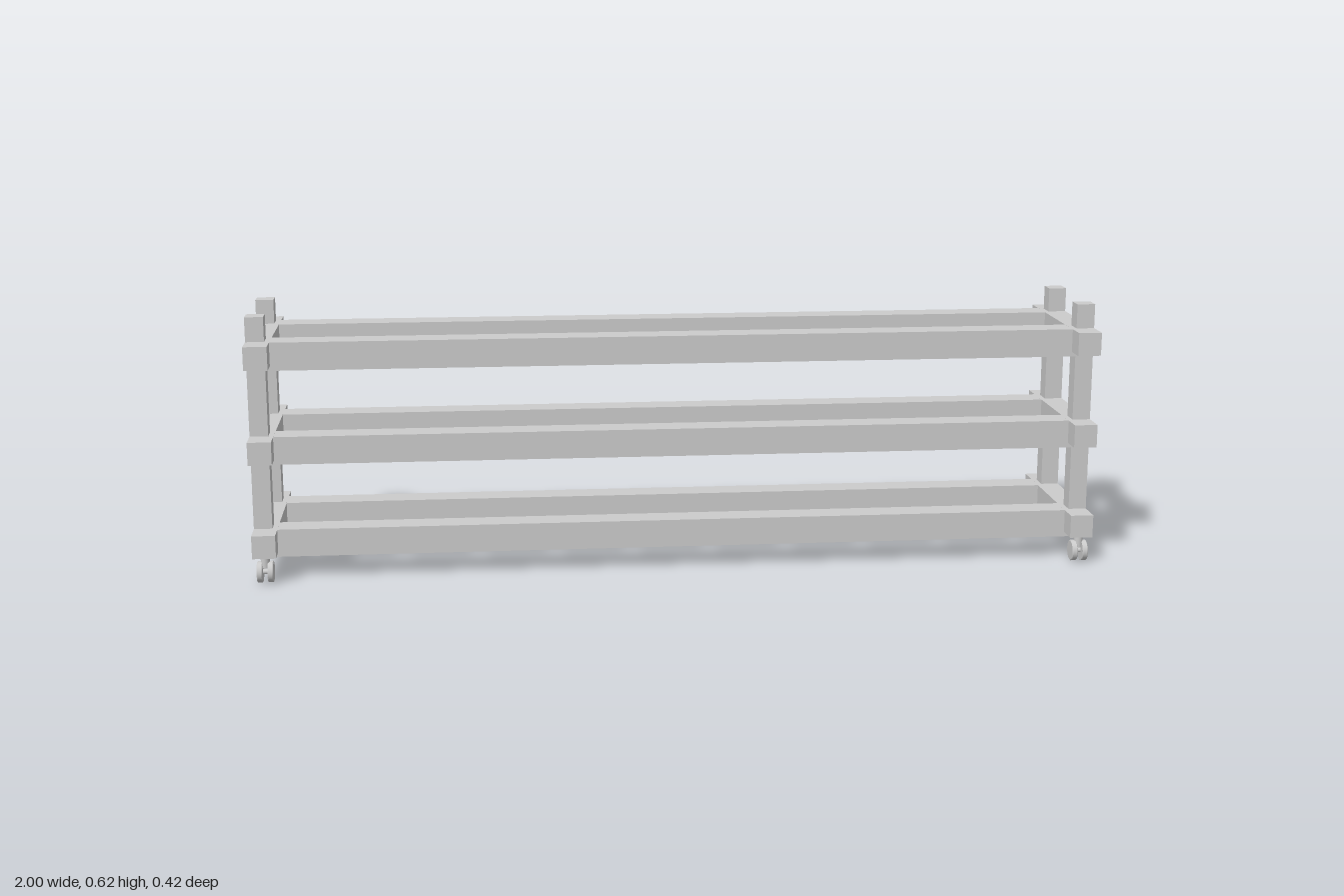
import * as THREE from 'three';

export function createModel() {
  const model = new THREE.Group();
  const material = new THREE.MeshStandardMaterial({ color: 0xcccccc });

  function add(parent, name, geometry, x, y, z) {
    const mesh = new THREE.Mesh(geometry, material);
    mesh.name = name;
    mesh.position.set(x, y, z);
    parent.add(mesh);
    return mesh;
  }

  const post = new THREE.BoxGeometry(0.043, 0.555, 0.043);
  const crossBar = new THREE.BoxGeometry(0.055, 0.055, 0.416);
  const rail = new THREE.BoxGeometry(1.914, 0.066, 0.066);
  const stem = new THREE.CylinderGeometry(0.0105, 0.0105, 0.03, 24);
  const axle = new THREE.CylinderGeometry(0.006, 0.006, 0.03, 16).rotateZ(Math.PI / 2);

  // Wheel with a slightly bevelled rim
  const profile = [[0, -0.0065], [0.0235, -0.0065], [0.025, -0.005], [0.025, 0.005], [0.0235, 0.0065], [0, 0.0065]];
  // Doubled points keep the rim edges sharp
  const points = profile.flatMap(([r, h], i) =>
    Array.from({ length: i % 5 ? 2 : 1 }, () => new THREE.Vector2(r, h)));
  const wheel = new THREE.LatheGeometry(points, 32).rotateZ(Math.PI / 2);

  // Three tiers: a pair of long rails and a cross bar at each end
  for (const top of [0.118, 0.341, 0.564]) {
    for (const side of [-1, 1]) {
      add(model, 'longRail', rail, 0, top - 0.0331, side * 0.122);
      add(model, 'crossBar', crossBar, side * 0.9725, top - 0.0275, 0);
    }
  }

  for (const sx of [-1, 1]) {
    for (const sz of [-1, 1]) {
      // Corner posts
      add(model, 'post', post, sx * 0.9785, 0.3445, sz * 0.123);

      // Twin-wheel casters
      const caster = new THREE.Group();
      caster.name = 'caster';
      caster.position.set(sx * 0.9725, 0, sz * 0.183);
      add(caster, 'casterStem', stem, 0, 0.05, 0);
      add(caster, 'casterAxle', axle, 0, 0.025, 0);
      for (const side of [-1, 1]) add(caster, 'casterWheel', wheel, side * 0.0125, 0.025, 0);
      model.add(caster);
    }
  }
  return model;
}
